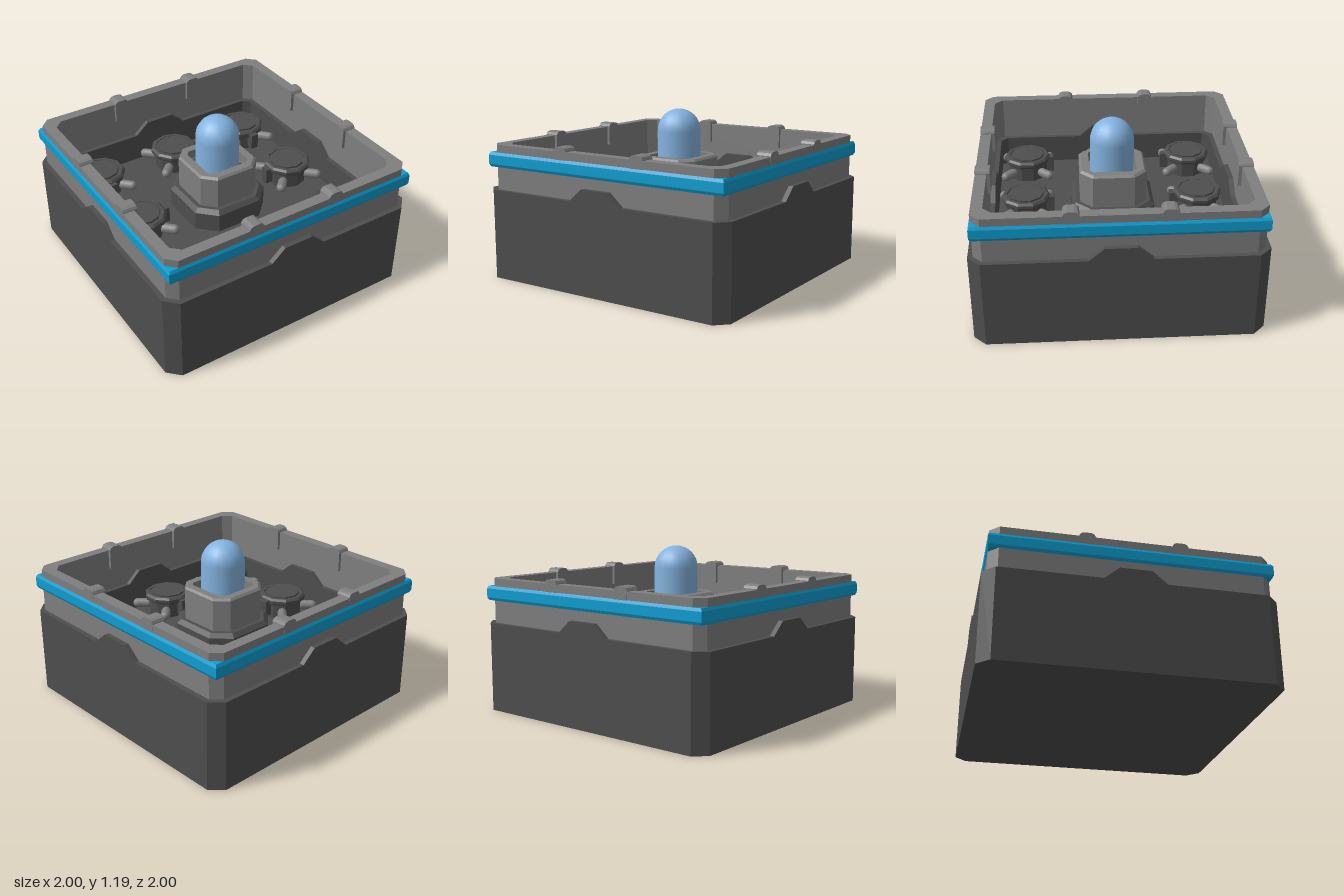
import * as THREE from 'three';

const mat = (name, color, side = THREE.FrontSide) => {
  const m = new THREE.MeshStandardMaterial({ color, side });
  m.name = name;
  return m;
};

// Outline of a square with cut corners
function octagon(h, c) {
  const k = h - c;
  return [[h, -k], [h, k], [k, h], [-k, h], [-h, k], [-h, -k], [-k, -h], [k, -h]];
}

// Flat-faced loft through cut-corner squares, rows are [half size, corner cut, y]
function octLoft(rows) {
  const pos = [];
  for (let r = 0; r < rows.length - 1; r++) {
    const [a, b] = [rows[r], rows[r + 1]];
    const [pa, pb] = [octagon(a[0], a[1]), octagon(b[0], b[1])];
    for (let i = 0; i < 8; i++) {
      const j = (i + 1) % 8;
      const A = [pa[i][0], a[2], pa[i][1]], B = [pa[j][0], a[2], pa[j][1]];
      const C = [pb[j][0], b[2], pb[j][1]], D = [pb[i][0], b[2], pb[i][1]];
      pos.push(...A, ...D, ...C, ...A, ...C, ...B);
    }
  }
  const g = new THREE.BufferGeometry();
  g.setAttribute('position', new THREE.Float32BufferAttribute(pos, 3));
  g.computeVertexNormals();
  return g;
}

// Extrude a side profile of [x, y] points from z0 to z1
function slab(points, z0, z1) {
  const s = new THREE.Shape(points.map(p => new THREE.Vector2(...p)));
  return new THREE.ExtrudeGeometry(s, { depth: z1 - z0, bevelEnabled: false }).translate(0, 0, z0);
}

// Faceted turned part
function turned(points, sides) {
  const g = new THREE.LatheGeometry(points.map(p => new THREE.Vector2(...p)), sides).toNonIndexed();
  g.computeVertexNormals();
  return g;
}

export function createModel() {
  const model = new THREE.Group();
  model.name = 'lampBox';
  const dark = mat('dark grey', 0x4e4e4e);
  const light = mat('light grey', 0x7f7f7f);
  const blue = mat('band blue', 0x0e9fd2);
  const glass = mat('lamp blue', 0x84b3e0);
  const add = (name, geo, material, parent = model) => {
    const m = new THREE.Mesh(geo, material);
    m.name = name;
    parent.add(m);
    return m;
  };
  const floor = 0.43;

  // Open tray
  add('tray', octLoft([[0, 0, 0], [1, 0.085, 0], [1, 0.085, 0.645], [0.85, 0.05, 0.645],
    [0.85, 0.05, floor], [0, 0, floor]]), dark);

  // Upper frame and the band around it
  add('upperFrame', octLoft([[0.965, 0.065, 0.64], [0.965, 0.065, 0.965], [0.885, 0.06, 0.965],
    [0.885, 0.06, 0.64]]), light);
  add('band', octLoft([[0.94, 0.06, 0.805], [0.965, 0.001, 0.805], [0.975, 0.001, 0.825],
    [0.975, 0.001, 0.89], [0.965, 0.001, 0.91], [0.94, 0.06, 0.91]]), blue);

  // Raised tabs and rim clips on all four sides
  const tab = slab([[-0.22, 0.64], [0.22, 0.64], [0.11, 0.735], [-0.11, 0.735]], 0.85, 1);
  const clip = slab([[-0.055, 0.82], [0.055, 0.82], [0.055, 0.97], [0.045, 0.987], [0.025, 0.995],
    [-0.025, 0.995], [-0.045, 0.987], [-0.055, 0.97]], 0.862, 0.966);
  for (let i = 0; i < 4; i++) {
    const side = new THREE.Group();
    side.name = 'wallSide';
    side.rotation.y = i * Math.PI / 2;
    model.add(side);
    add('tab', tab, dark, side);
    for (const x of [-0.32, 0.32]) add('rimClip', clip, light, side).position.x = x;
  }

  // Eight round fittings, each with four feet and a latch facing the middle
  const stem = turned([[0.15, floor], [0.15, 0.56]], 10);
  const cap = turned([[0.14, 0.55], [0.175, 0.55], [0.18, 0.565], [0.18, 0.585], [0.165, 0.6],
    [0.142, 0.6], [0.142, 0.585], [0.13, 0.585], [0.13, 0.605], [0, 0.605]], 10);
  const foot = new THREE.CapsuleGeometry(0.036, 0.08, 4, 10).rotateZ(Math.PI / 2);
  const latch = new THREE.BoxGeometry(0.06, 0.12, 0.06);
  for (const x of [-0.64, 0, 0.64]) for (const z of [-0.64, 0, 0.64]) {
    if (!x && !z) continue;
    const fitting = new THREE.Group();
    fitting.name = 'roundFitting';
    fitting.position.set(x, 0, z);
    model.add(fitting);
    add('stem', stem, dark, fitting);
    add('cap', cap, dark, fitting);
    for (let i = 0; i < 4; i++) {
      const a = Math.PI / 4 + i * Math.PI / 2;
      const f = add('foot', foot, light, fitting);
      f.position.set(0.2 * Math.cos(a), floor + 0.06, 0.2 * Math.sin(a));
      f.rotation.y = -a;
    }
    const l = add('latch', latch, dark, fitting);
    l.position.set(z ? 0 : -Math.sign(x) * 0.18, 0.52, -Math.sign(z) * 0.18);
  }

  // Central lamp post
  add('postFoot', octLoft([[0.3, 0.125, floor], [0.3, 0.125, 0.57], [0.27, 0.11, 0.6],
    [0.22, 0.1, 0.6]]), dark);
  add('post', octLoft([[0.24, 0.09, 0.59], [0.24, 0.09, 0.835], [0.225, 0.085, 0.85],
    [0.17, 0.03, 0.85], [0.17, 0.03, 0.78], [0, 0, 0.78]]), light);
  const pad = new THREE.BoxGeometry(0.08, 0.008, 0.08);
  for (const x of [-0.115, 0.115]) for (const z of [-0.115, 0.115])
    add('socketPad', pad, dark).position.set(x, 0.784, z);

  // Domed lamp
  const profile = [new THREE.Vector2(0.16, 0.78)];
  for (let i = 0; i <= 8; i++) {
    const a = i * Math.PI / 16;
    profile.push(new THREE.Vector2(0.16 * Math.cos(a), 1.03 + 0.16 * Math.sin(a)));
  }
  add('lamp', new THREE.LatheGeometry(profile, 16), glass);

  return model;
}
